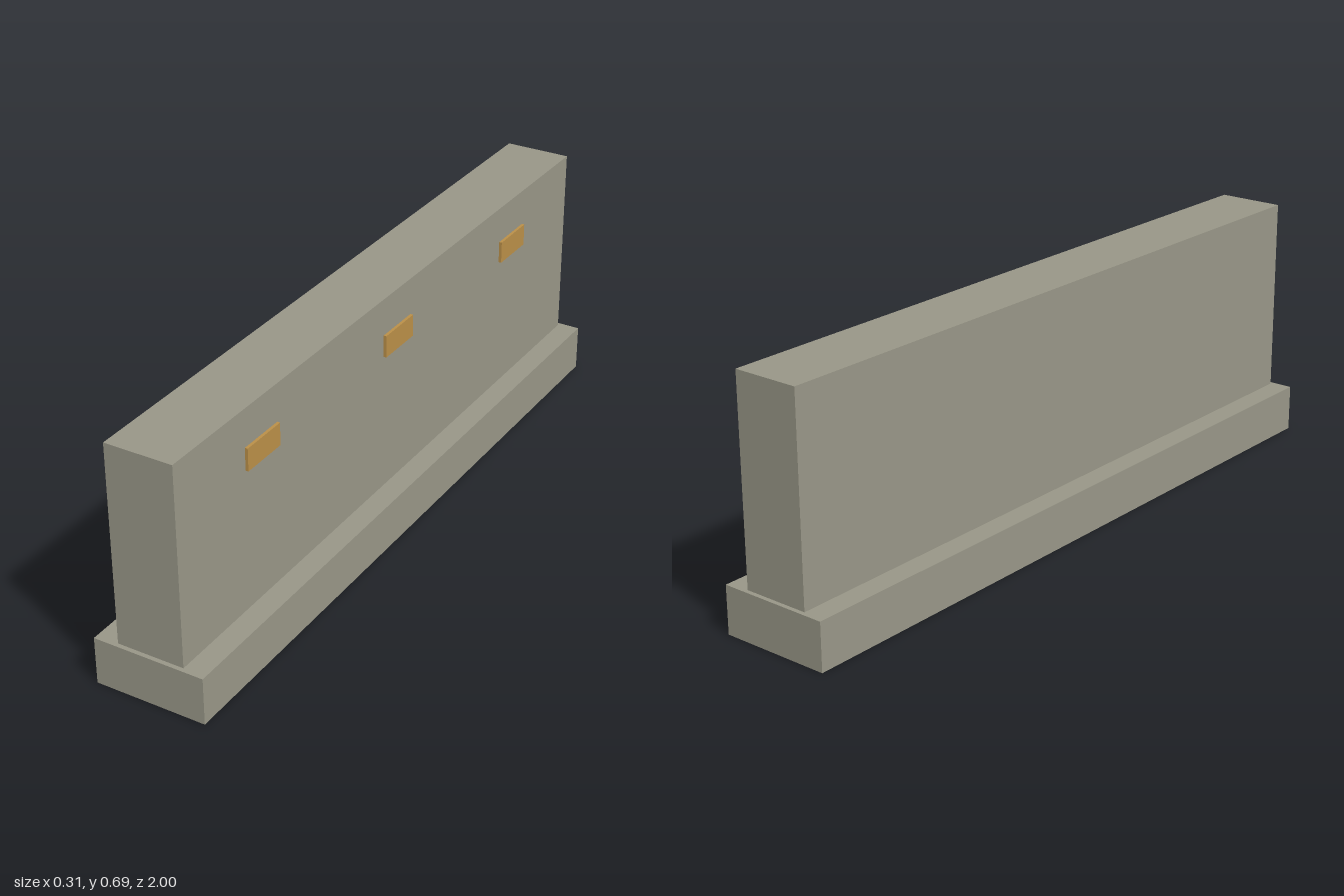
import * as THREE from 'three';

export function createModel() {
  const group = new THREE.Group();
  group.name = 'barrierWall';

  const concrete = new THREE.MeshStandardMaterial({ color: 0x989687 });
  concrete.name = 'concrete';
  const amber = new THREE.MeshStandardMaterial({ color: 0xba8f48 });
  amber.name = 'amber';

  // Box given by its lower and upper corners
  function addBox(name, material, [x0, y0, z0], [x1, y1, z1]) {
    const mesh = new THREE.Mesh(new THREE.BoxGeometry(x1 - x0, y1 - y0, z1 - z0), material);
    mesh.position.set((x0 + x1) / 2, (y0 + y1) / 2, (z0 + z1) / 2);
    mesh.name = name;
    group.add(mesh);
  }

  // Wide footing with a narrower, slightly shorter wall on top
  addBox('footing', concrete, [-0.156, 0, -1], [0.156, 0.132, 1]);
  addBox('wall', concrete, [-0.094, 0.132, -0.988], [0.094, 0.686, 0.988]);

  // Three reflectors along the left face
  ['frontReflector', 'middleReflector', 'rearReflector'].forEach((name, i) => {
    const z = 0.638 * (1 - i);
    addBox(name, amber, [0.093, 0.521, z - 0.069], [0.102, 0.583, z + 0.069]);
  });

  return group;
}
